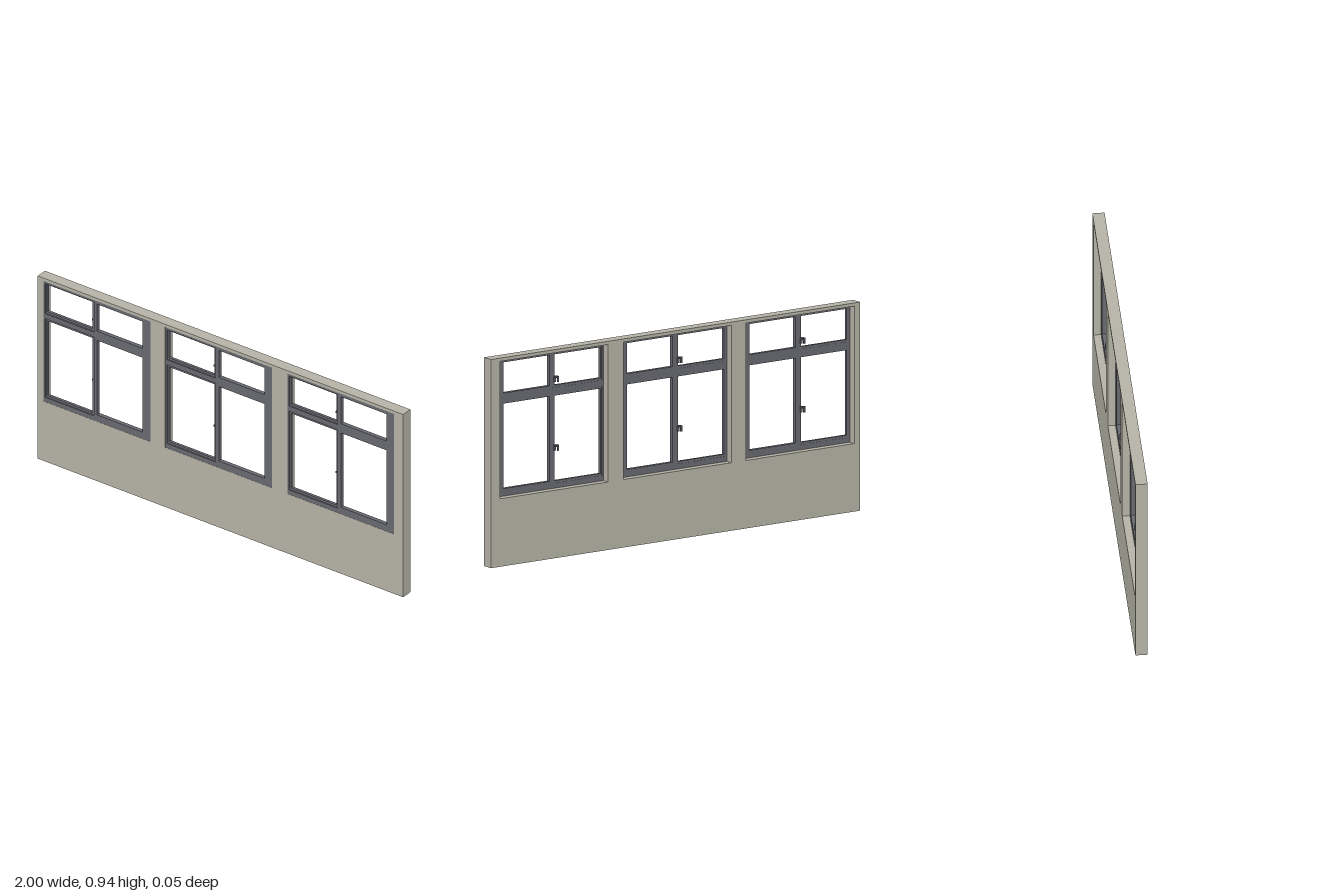
import * as THREE from 'three';

const wallMat = new THREE.MeshStandardMaterial({ color: 0xb5b3a6 });
wallMat.name = 'wall plaster';
const frameMat = new THREE.MeshStandardMaterial({ color: 0x686971 });
frameMat.name = 'frame grey';

// Rectangle outline, usable as a shape or as a hole
function rect(path, x0, y0, x1, y1) {
  path.moveTo(x0, y0);
  path.lineTo(x1, y0);
  path.lineTo(x1, y1);
  path.lineTo(x0, y1);
  path.closePath();
  return path;
}

// Flat panel with rectangular holes, running from z0 to z1
function panel(name, outer, holes, z0, z1, material) {
  const shape = rect(new THREE.Shape(), ...outer);
  holes.forEach((h) => shape.holes.push(rect(new THREE.Path(), ...h)));
  const geometry = new THREE.ExtrudeGeometry(shape, { depth: z1 - z0, bevelEnabled: false });
  geometry.translate(0, 0, z0);
  const mesh = new THREE.Mesh(geometry, material);
  mesh.name = name;
  return mesh;
}

function box(name, w, h, d, x, y, z, material) {
  const mesh = new THREE.Mesh(new THREE.BoxGeometry(w, h, d), material);
  mesh.name = name;
  mesh.position.set(x, y, z);
  return mesh;
}

const W = 0.585, BOTTOM = 0.308, TOP = 0.93;

// Handle: base on the sash, neck, and a lever turned down behind it
function handle(x, y) {
  const g = new THREE.Group();
  g.name = 'handle';
  g.add(
    box('handleBase', 0.01, 0.028, 0.006, x + 0.006, y, 0.007, frameMat),
    box('handleNeck', 0.014, 0.009, 0.012, x, y + 0.009, 0.002, frameMat),
    box('handleLever', 0.009, 0.027, 0.005, x - 0.004, y, -0.004, frameMat)
  );
  return g;
}

// One window: fixed lights on the +x side, opening sashes on the -x side
function windowUnit() {
  const g = new THREE.Group();
  g.name = 'window';
  const y = [0.342, 0.727, 0.775, 0.914]; // clear heights of lower and upper lights
  const s = 0.011; // sash width
  const openings = [[0.016, 0.264], [0.293, 0.542]];
  const [l, r] = openings;
  const rows = [[y[0], y[1]], [y[2], y[3]]];
  const holes = [];
  rows.forEach(([a, b], i) => {
    const sashTop = i ? b + 0.005 : b + s;
    const outer = [l[0] - 0.007, a - s, l[1] + s, sashTop];
    holes.push(outer, [r[0], a, r[1], b]);
    // Sash sits slightly behind the front of the frame
    g.add(panel('sash', outer, [[l[0], a, l[1], b]], 0.008, 0.021, frameMat));
    g.add(handle(l[1] - 0.006, i ? 0.803 : 0.492));
  });
  g.add(panel('frame', [0, BOTTOM, W, TOP], holes, 0.007, 0.0262, frameMat));
  return g;
}

export function createModel() {
  const model = new THREE.Group();
  model.name = 'windowWall';
  const starts = [-0.968, -0.302, 0.366];
  // Wall with three openings
  model.add(panel('wall', [-1, 0, 1, 0.945],
    starts.map((x) => [x, BOTTOM, x + W, TOP]), -0.027, 0.027, wallMat));
  for (const x of starts) {
    const unit = windowUnit();
    unit.position.x = x;
    model.add(unit);
  }
  return model;
}
